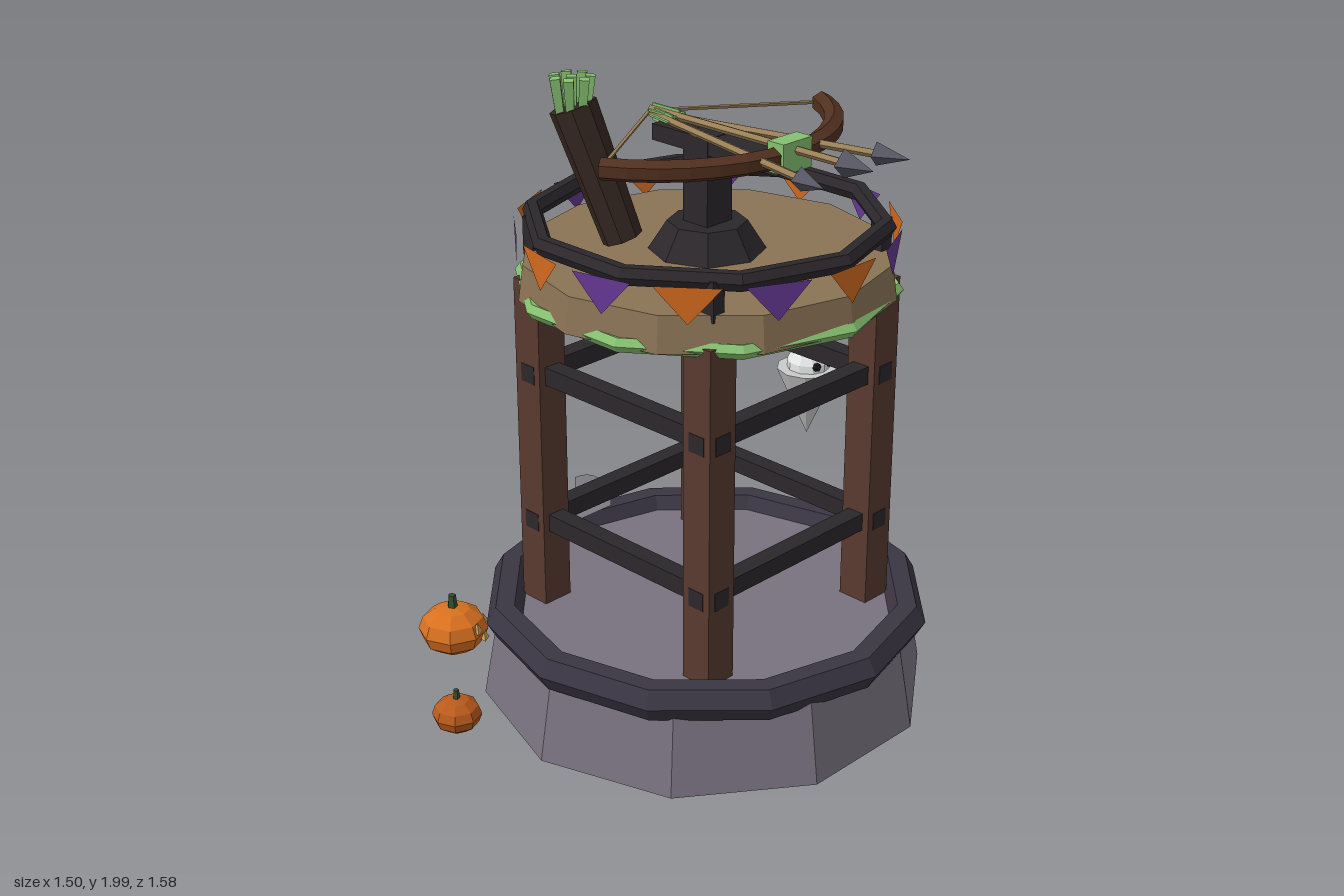
import * as THREE from 'three';

const CX = 0.04, CZ = -0.075; // tower axis
const mat = (color, side = THREE.FrontSide) => new THREE.MeshStandardMaterial({ color, flatShading: true, side });
const M = {
  stone: mat(0x797280), rim: mat(0x3a3542), wood: mat(0x583a2f), dark: mat(0x2b272b),
  plank: mat(0x8a7355), green: mat(0x86c070), quiver: mat(0x352721), bow: mat(0x51301f),
  shaft: mat(0x9a8058), steel: mat(0x555562), orange: mat(0xd2691e, THREE.DoubleSide),
  purple: mat(0x653792, THREE.DoubleSide), pumpkin: mat(0xd8701f), pumpkinDark: mat(0xb95a1c),
  stem: mat(0x34502c), white: mat(0xe6ebe9), sheet: mat(0xbfc3c0, THREE.DoubleSide),
  black: mat(0x1b191d, THREE.DoubleSide), web: mat(0xc9c6d0, THREE.DoubleSide),
  wax: mat(0xd9cfae), flame: mat(0xc9a05a),
};

function add(parent, name, geo, material, x = 0, y = 0, z = 0) {
  const m = new THREE.Mesh(geo, material);
  m.name = name;
  m.position.set(x, y, z);
  parent.add(m);
  return m;
}
const box = (w, h, d) => new THREE.BoxGeometry(w, h, d);
const cyl = (rt, rb, h, n) => new THREE.CylinderGeometry(rt, rb, h, n);
const ring = (r, tube, sides, n) => new THREE.TorusGeometry(r, tube, sides, n).rotateX(Math.PI / 2);
const vec = (x, y, z) => new THREE.Vector3(x, y, z);

// Cylinder between two points
function rod(parent, name, a, b, ra, rb, n, material) {
  const d = b.clone().sub(a);
  const m = add(parent, name, cyl(rb, ra, d.length(), n), material);
  m.position.copy(a).addScaledVector(d, 0.5);
  m.quaternion.setFromUnitVectors(vec(0, 1, 0), d.normalize());
  return m;
}

function flat(points) {
  return new THREE.ShapeGeometry(new THREE.Shape(points.map(p => new THREE.Vector2(...p))));
}

function tower(g) {
  add(g, 'stoneBase', cyl(0.662, 0.715, 0.3, 10), M.stone, 0, 0.15, 0);
  add(g, 'baseRim', ring(0.65, 0.06, 6, 12), M.rim, 0, 0.292, 0);
  for (const sx of [-1, 1]) for (const sz of [-1, 1]) {
    add(g, 'leg', box(0.105, 1.1, 0.105), M.wood, sx * 0.357, 0.83, sz * 0.358);
    add(g, 'railPost', box(0.045, 0.12, 0.045), M.dark, sx * 0.37, 1.51, sz * 0.36);
  }
  // Cross beams, with ends showing on the outer leg faces
  for (const y of [0.58, 1.08]) for (const s of [-1, 1]) {
    add(g, 'beam', box(0.824, 0.058, 0.058), M.dark, 0, y, s * 0.358);
    add(g, 'beam', box(0.058, 0.058, 0.824), M.dark, s * 0.357, y, 0);
  }
  add(g, 'platform', cyl(0.56, 0.575, 0.11, 12), M.plank, 0, 1.417, 0);
  add(g, 'greenTrim', ring(0.565, 0.023, 5, 10), M.green, 0, 1.372, 0);
  add(g, 'railing', ring(0.53, 0.03, 6, 10), M.dark, 0, 1.566, 0);
  // Bunting
  for (let k = 0; k < 14; k++) {
    const a = k * Math.PI / 7;
    const p = add(g, 'pennant', flat([[-0.097, 0.055], [0, -0.055], [0.097, 0.055]]),
      k % 2 ? M.purple : M.orange, Math.cos(a) * 0.568, 1.508, Math.sin(a) * 0.568);
    p.rotation.y = Math.PI / 2 - a;
  }
  // Corner web
  const w = new THREE.Shape().moveTo(0, 0).lineTo(0.16, 0).absarc(0, 0, 0.16, 0, Math.PI / 2).lineTo(0, 0);
  const web = add(g, 'web', new THREE.ShapeGeometry(w, 6), M.web, -0.47, 0.43, 0.125);
  web.rotation.y = Math.PI / 2;
}

function crossbow(g) {
  add(g, 'pedestal', cyl(0.12, 0.178, 0.09, 8), M.dark, 0, 1.515, 0);
  add(g, 'post', box(0.1, 0.3, 0.105), M.dark, 0, 1.68, 0);
  add(g, 'stock', box(0.5, 0.05, 0.1), M.dark, 0.07, 1.803, 0);
  add(g, 'grip', box(0.06, 0.09, 0.12), M.green, 0.32, 1.835, 0);
  // Curved limb
  const pts = [];
  for (let i = -5; i <= 5; i++) {
    const a = i / 5 * 1.1;
    pts.push(vec(-0.2 + 0.518 * Math.cos(a), 1.832, 0.518 * Math.sin(a)));
  }
  const curve = new THREE.CatmullRomCurve3(pts);
  add(g, 'bowLimb', new THREE.TubeGeometry(curve, 14, 0.033, 6), M.bow);
  [pts[0], pts[10]].forEach((p, i) => {
    add(g, 'limbTip', new THREE.CircleGeometry(0.033, 6), M.bow, p.x, p.y, p.z)
      .quaternion.setFromUnitVectors(vec(0, 0, 1), curve.getTangent(i).multiplyScalar(i ? 1 : -1));
    rod(g, 'bowString', p, vec(-0.24, 1.845, 0), 0.006, 0.006, 4, M.shaft);
  });
  // Three loaded arrows fanning outwards
  for (const i of [-1, 0, 1]) {
    const a = new THREE.Group();
    a.name = 'arrow';
    a.position.set(-0.235, i ? 1.84 : 1.852, 0);
    a.rotation.y = -i * 0.212;
    rod(a, 'shaft', vec(0, 0, 0), vec(0.79, 0, 0), 0.013, 0.013, 5, M.shaft);
    const s = i ? 0.035 : 0.043;
    rod(a, 'arrowHead', vec(0.755, 0, 0), vec(0.86, 0, 0), s, 0, 4, M.steel);
    add(a, 'fletching', box(0.11, 0.04, 0.006), M.green, 0.065, 0, 0);
    add(a, 'fletching', box(0.11, 0.006, 0.04), M.green, 0.065, 0, 0);
    g.add(a);
  }
}

function quiver(g) {
  const base = vec(-0.145, 1.5, 0.095), top = vec(-0.262, 1.9, 0.178);
  rod(g, 'quiver', base, top, 0.062, 0.073, 8, M.quiver);
  // Bundle of fletched arrow ends
  for (let k = 0; k < 8; k++) {
    const a = k * Math.PI * 2 / 7, r = k < 7 ? 1 : 0;
    const at = (s, y, d) => vec(-0.256 + Math.cos(a) * s * r, y, 0.184 + Math.sin(a) * s * r + d);
    rod(g, 'spareFletching', at(0.04, 1.87, 0), at(0.055, 1.992, 0.002), 0.016, 0.021, 4, M.green);
  }
}

function pumpkin(root, x, y, z, r, h, material) {
  const g = new THREE.Group();
  g.name = 'pumpkin';
  g.position.set(x, y, z);
  add(g, 'body', new THREE.SphereGeometry(r, 8, 6), material).scale.y = h / r;
  add(g, 'stem', cyl(r * 0.11, r * 0.16, r * 0.5, 5), M.stem, 0, h + r * 0.1, 0);
  root.add(g);
  return g;
}

function ghost(root) {
  const g = new THREE.Group();
  g.name = 'ghost';
  g.position.set(-0.055, 0, -0.658);
  add(g, 'sheet', new THREE.ConeGeometry(0.105, 0.24, 10).rotateX(Math.PI), M.sheet, 0, 0.76, 0);
  add(g, 'head', new THREE.SphereGeometry(0.072, 10, 7), M.white, 0, 0.89, 0);
  for (const s of [-1, 1]) add(g, 'eye', new THREE.SphereGeometry(0.015, 6, 4), M.black, 0.064, 0.904, s * 0.03);
  root.add(g);
}

function bat(root, x, y, z) {
  const g = new THREE.Group();
  g.name = 'bat';
  g.position.set(x, y, z);
  add(g, 'body', new THREE.SphereGeometry(0.035, 6, 4), M.black).scale.y = 0.7;
  for (const s of [-1, 1]) {
    const wing = flat([[0, -0.035], [0.05, -0.03], [0.115, -0.045], [0.085, 0.005], [0.06, 0.02], [0.04, 0.04], [0, 0.035]]);
    const w = add(g, 'wing', wing.rotateX(Math.PI / 2).rotateZ(0.18), M.black);
    w.scale.x = s;
    add(g, 'ear', new THREE.ConeGeometry(0.01, 0.025, 4), M.black, 0.01, 0.03, s * 0.015);
  }
  root.add(g);
}

export function createModel() {
  const root = new THREE.Group();
  root.name = 'watchtower';
  const t = new THREE.Group();
  t.name = 'tower';
  t.position.set(CX, 0, CZ);
  tower(t);
  crossbow(t);
  root.add(t);
  quiver(root);
  ghost(root);
  bat(root, -0.465, 1.115, -0.34);
  bat(root, -0.49, 0.99, 0.1);

  // Pumpkins, the large one carved with a face
  const big = pumpkin(root, -0.64, 0.093, 0.415, 0.115, 0.083, M.pumpkin);
  [[0.06, 0.03, -0.078], [0.1, 0.03, -0.02], [0.09, -0.01, -0.055]].forEach(([x, y, z], i) => {
    const f = add(big, i < 2 ? 'carvedEye' : 'carvedMouth', new THREE.ConeGeometry(0.022, 0.035, 3), M.flame, x, y, z);
    f.rotation.y = Math.PI / 3;
  });
  pumpkin(root, -0.27, 0.062, 0.71, 0.078, 0.058, M.pumpkinDark);

  // Candles behind the base
  for (const [x, z, h] of [[-0.553, -0.67, 0.19], [-0.603, -0.613, 0.1], [-0.49, -0.628, 0.13]]) {
    add(root, 'candle', cyl(0.02, 0.023, h, 5), M.wax, x, h / 2, z);
    add(root, 'flame', new THREE.ConeGeometry(0.009, 0.035, 5), M.flame, x, h + 0.017, z);
  }
  return root;
}
